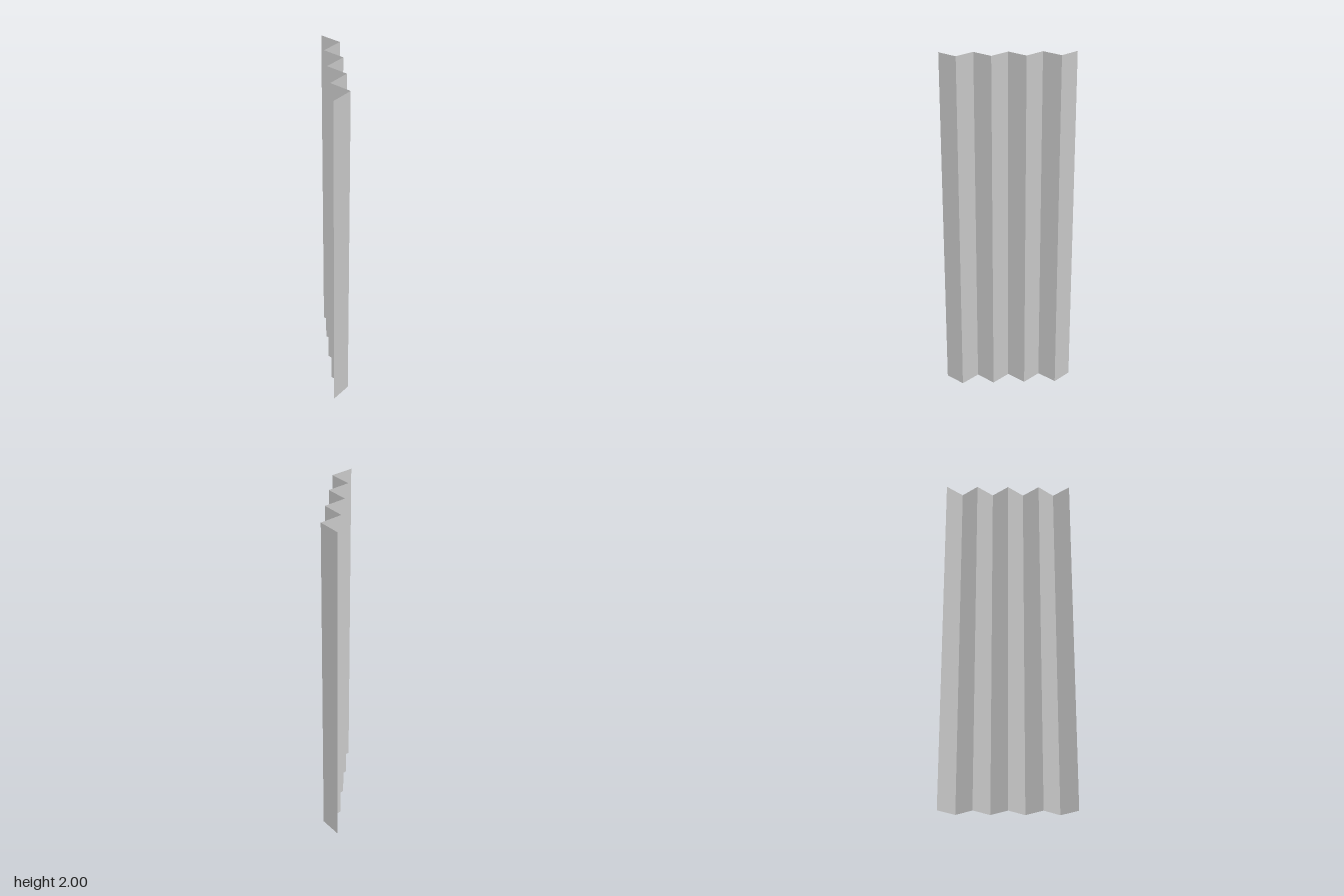
import * as THREE from 'three';

const PANELS = 8;
const HEIGHT = 2;
const DEPTH = 0.74; // overall run along z
const FOLD = 0.046; // half of the zigzag's width in x

export function createModel() {
  const group = new THREE.Group();
  group.name = 'foldingScreen';

  const material = new THREE.MeshStandardMaterial({
    color: 0xcccccc,
    flatShading: true,
    side: THREE.DoubleSide,
  });

  // Fold lines alternate between -x and +x, running from front to back
  const step = DEPTH / PANELS;
  const panelGeometry = new THREE.PlaneGeometry(Math.hypot(2 * FOLD, step), HEIGHT);
  const angle = Math.atan2(step, 2 * FOLD);

  // Thin flat panels, each turned the opposite way to its neighbour
  for (let i = 0; i < PANELS; i++) {
    const panel = new THREE.Mesh(panelGeometry, material);
    panel.name = `panel${i + 1}`;
    panel.position.set(0, HEIGHT / 2, DEPTH / 2 - (i + 0.5) * step);
    panel.rotation.y = i % 2 === 0 ? angle : Math.PI - angle;
    group.add(panel);
  }

  return group;
}
